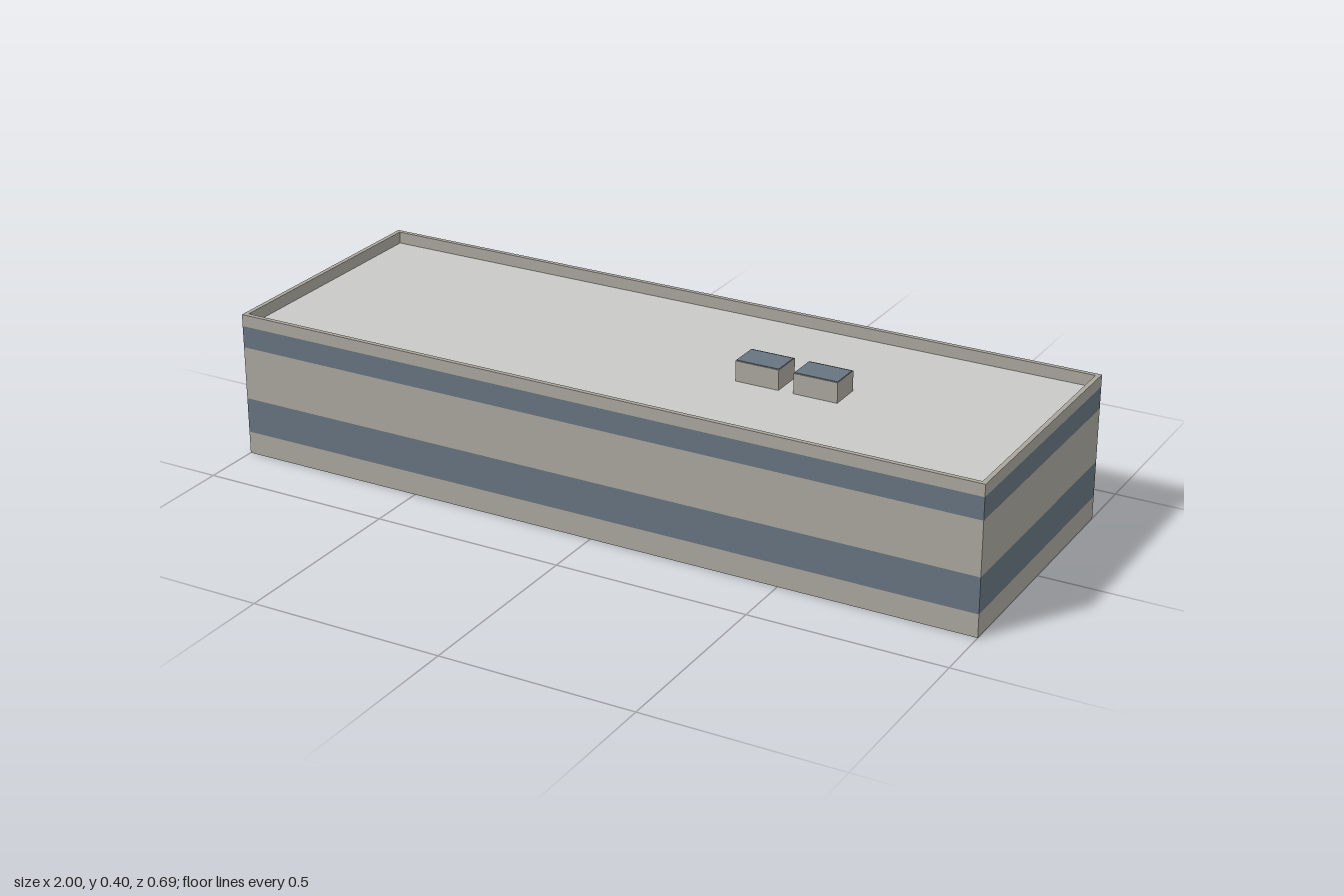
import * as THREE from 'three';

const WIDTH = 2, DEPTH = 0.69, RIM = 0.012, ROOF_Y = 0.347, TOP_Y = 0.378;

export function createModel() {
  const model = new THREE.Group();
  const mat = (name, color) => {
    const m = new THREE.MeshStandardMaterial({ color });
    m.name = name;
    return m;
  };
  const wall = mat('wall beige', 0xa8a59c);
  const glass = mat('window blue', 0x67737f);
  const roofGrey = mat('roof grey', 0xc8c8c6);

  const add = (name, geometry, material, x = 0, y = 0, z = 0, parent = model) => {
    const mesh = new THREE.Mesh(geometry, material);
    mesh.name = name;
    mesh.position.set(x, y, z);
    parent.add(mesh);
    return mesh;
  };

  // Four-sided sleeve: a box without its top and bottom faces
  const sleeve = (h) => {
    const g = new THREE.BoxGeometry(WIDTH, h, DEPTH);
    const index = Array.from(g.index.array);
    g.setIndex([...index.slice(0, 12), ...index.slice(24)]);
    g.clearGroups();
    return g;
  };

  // Facade bands, from the ground up
  const bands = [
    ['plinth', 0, 0.059, wall],
    ['lowerWindowBand', 0.059, 0.151, glass],
    ['middleWall', 0.151, 0.29, wall],
    ['upperWindowBand', 0.29, ROOF_Y, glass],
  ];
  for (const [name, y0, y1, m] of bands) add(name, sleeve(y1 - y0), m, 0, (y0 + y1) / 2);

  // Parapet: a rectangular frame around the roof
  const rectangle = (Type, w, d) => new Type([
    new THREE.Vector2(-w / 2, -d / 2), new THREE.Vector2(w / 2, -d / 2),
    new THREE.Vector2(w / 2, d / 2), new THREE.Vector2(-w / 2, d / 2),
  ]);
  const frame = rectangle(THREE.Shape, WIDTH, DEPTH);
  frame.holes.push(rectangle(THREE.Path, WIDTH - 2 * RIM, DEPTH - 2 * RIM));
  const parapet = new THREE.ExtrudeGeometry(frame, { depth: TOP_Y - ROOF_Y, bevelEnabled: false });
  add('parapet', parapet.rotateX(-Math.PI / 2), wall, 0, ROOF_Y);

  // Roof deck and underside
  const deck = new THREE.PlaneGeometry(WIDTH - 2 * RIM, DEPTH - 2 * RIM).rotateX(-Math.PI / 2);
  add('roofDeck', deck, roofGrey, 0, ROOF_Y);
  add('underside', new THREE.PlaneGeometry(WIDTH, DEPTH).rotateX(Math.PI / 2), roofGrey);

  // Two rooftop units with blue lids
  for (const x of [0.287, 0.441]) {
    const unit = new THREE.Group();
    unit.name = 'rooftopUnit';
    unit.position.set(x, ROOF_Y, 0.007);
    add('unitBody', new THREE.BoxGeometry(0.115, 0.052, 0.084), wall, 0, 0.026, 0, unit);
    add('unitLid', new THREE.BoxGeometry(0.113, 0.002, 0.076), glass, 0, 0.053, 0.002, unit);
    model.add(unit);
  }

  return model;
}
